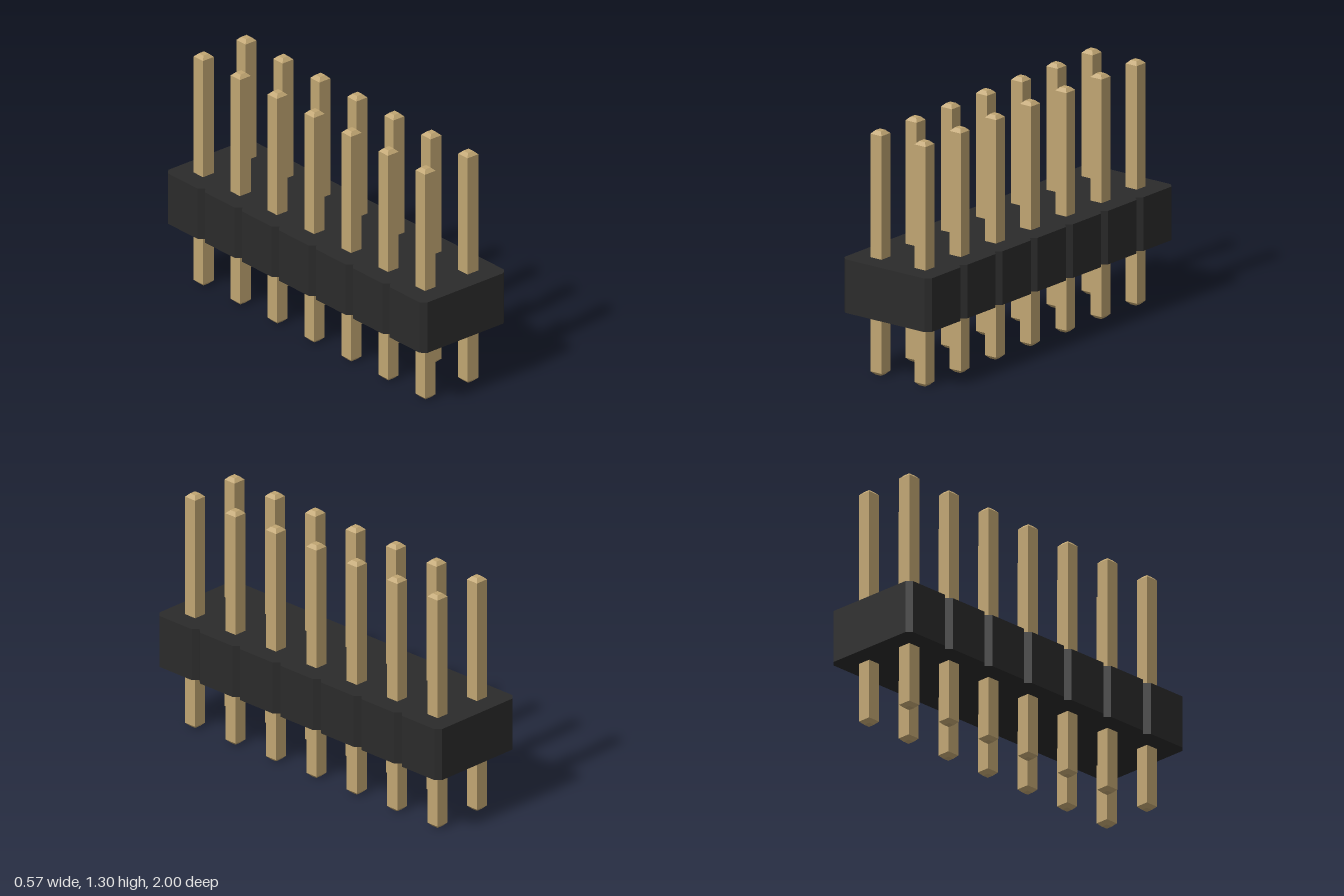
import * as THREE from 'three';

const ROWS = 7;
const PITCH = 2 / ROWS;
const HALF_WIDTH = 0.284;
const NOTCH = 0.028;
const BODY_BOTTOM = 0.34;
const BODY_TOP = 0.625;
const PIN_HEIGHT = 1.3;
const PIN_HALF = 0.036;
const TIP_HALF = 0.018;
const TIP_HEIGHT = 0.018;

// Housing outline: one chamfered cell per row, so neighbours form V notches
function housingGeometry() {
  const side = [];
  for (let i = 0; i < ROWS; i++) {
    const a = -1 + i * PITCH;
    const b = a + PITCH;
    const inner = HALF_WIDTH - NOTCH;
    side.push([inner, a], [HALF_WIDTH, a + NOTCH], [HALF_WIDTH, b - NOTCH]);
    if (i === ROWS - 1) side.push([inner, b]);
  }
  const outline = [...side, ...side.map(([x, y]) => [-x, y]).reverse()];
  const shape = new THREE.Shape(outline.map(([x, y]) => new THREE.Vector2(x, y)));
  const geometry = new THREE.ExtrudeGeometry(shape, {
    depth: BODY_TOP - BODY_BOTTOM,
    bevelEnabled: false,
  });
  return geometry.rotateX(-Math.PI / 2).translate(0, BODY_BOTTOM, 0);
}

// Square pin with tapered ends: a four-sided lathe
function pinGeometry() {
  const profile = [
    [0, 0],
    [TIP_HALF, 0],
    [PIN_HALF, TIP_HEIGHT],
    [PIN_HALF, PIN_HEIGHT - TIP_HEIGHT],
    [TIP_HALF, PIN_HEIGHT],
    [0, PIN_HEIGHT],
  ].map(([half, y]) => new THREE.Vector2(half * Math.SQRT2, y));
  return new THREE.LatheGeometry(profile, 4, Math.PI / 4);
}

export function createModel() {
  const model = new THREE.Group();
  model.name = 'pinHeader';

  const plastic = new THREE.MeshStandardMaterial({ color: 0x2b2b2b, flatShading: true });
  const brass = new THREE.MeshStandardMaterial({ color: 0xc0a572, flatShading: true });

  const housing = new THREE.Mesh(housingGeometry(), plastic);
  housing.name = 'housing';
  model.add(housing);

  // Two columns of pins
  const pins = new THREE.Group();
  pins.name = 'pins';
  const geometry = pinGeometry();
  for (const side of [-1, 1]) {
    for (let i = 0; i < ROWS; i++) {
      const pin = new THREE.Mesh(geometry, brass);
      pin.name = `${side > 0 ? 'left' : 'right'}Pin${i + 1}`;
      pin.position.set((side * PITCH) / 2, 0, -1 + (i + 0.5) * PITCH);
      pins.add(pin);
    }
  }
  model.add(pins);

  return model;
}
